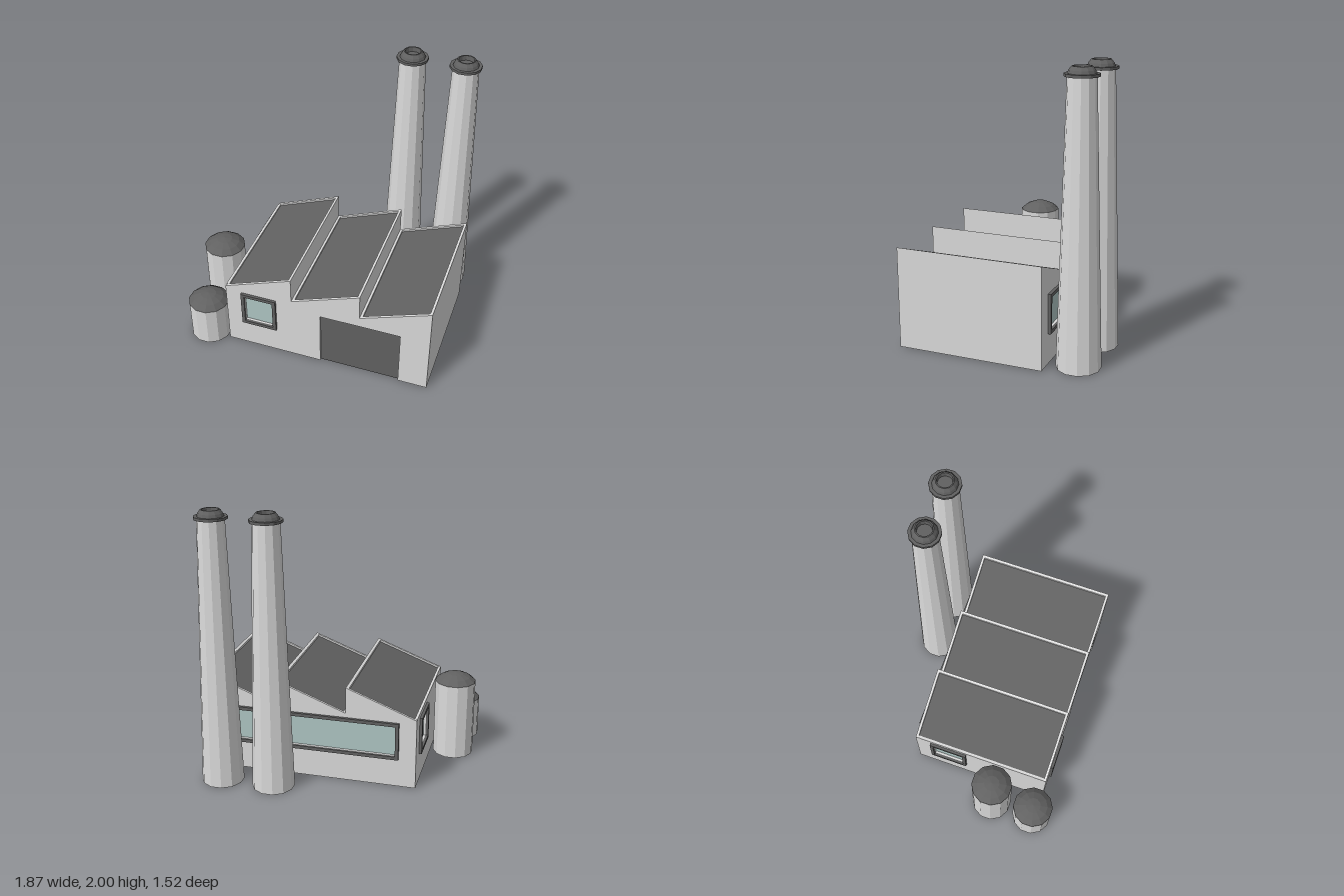
import * as THREE from 'three';

const mat = (name, color) => {
  const m = new THREE.MeshStandardMaterial({ color });
  m.name = name;
  return m;
};

export function createModel() {
  const wall = mat('light grey wall', 0xdadada);
  const dark = mat('dark grey', 0x616161);
  const glass = mat('pale blue glass', 0xaec5c3);
  const model = new THREE.Group();
  model.name = 'factory';

  const add = (name, geometry, material, parent = model) => {
    const mesh = new THREE.Mesh(geometry, material);
    mesh.name = name;
    parent.add(mesh);
    return mesh;
  };
  const poly = (pts) => new THREE.Shape(pts.map((p) => new THREE.Vector2(...p)));
  const rect = (x0, y0, x1, y1) => [[x0, y0], [x1, y0], [x1, y1], [x0, y1]];
  const extrude = (shape, depth, z = 0) =>
    new THREE.ExtrudeGeometry(shape, { depth, bevelEnabled: false }).translate(0, 0, z);
  const withHole = (pts, hole) => {
    const s = poly(pts);
    s.holes.push(poly(hole));
    return s;
  };

  // Building measurements
  const L = -0.62, R = 0.93, BACK = -0.41, FRONT = 0.645, T = 0.02;
  const LOW = 0.53, HIGH = 0.727, FRAME = 0.025;
  const WIN_LOW = 0.215, WIN_HIGH = 0.498;
  const DOOR = { x0: 0.115, x1: 0.715, h: 0.45 };
  const ridges = [L, -0.105, 0.412, R];
  const bays = [0, 1, 2].map((i) => {
    const x0 = ridges[i], x1 = ridges[i + 1];
    return { x0, x1, y: (x) => LOW + ((HIGH - LOW) * (x - x0)) / (x1 - x0) };
  });
  const sawtooth = bays.flatMap(({ x0, x1 }) => [[x0, LOW], [x1, HIGH]]);
  const opening = (x0, x1) => rect(x0 + FRAME, WIN_LOW + FRAME, x1 - FRAME, WIN_HIGH - FRAME);

  // Core with a sunken roof in each bay
  const core = [];
  bays.forEach(({ x0, x1, y }, i) => {
    const a = x0 + T, b = x1 - T;
    if (i > 0) core.push([x0, y(x0)], [a, y(a)]);
    core.push([a, y(a) - T], [b, y(b) - T], [b, y(b)], [x1, y(x1)]);
  });
  add('buildingCore', extrude(poly([[L + T, 0], ...core, [R, 0]]), FRONT - BACK - 2 * T, BACK + T), wall);

  // Roof panels
  bays.forEach(({ x0, x1, y }) => {
    const a = x0 + T, b = x1 - T;
    const panel = poly([[a, y(a) - T], [b, y(b) - T], [b, y(b) - T + 0.005], [a, y(a) - T + 0.005]]);
    add('roofPanel', extrude(panel, FRONT - BACK - 2 * T, BACK + T), dark);
  });

  // Outer walls with openings
  const frontPts = [[L, 0], ...sawtooth, [R, 0], [DOOR.x1, 0], [DOOR.x1, DOOR.h], [DOOR.x0, DOOR.h], [DOOR.x0, 0]];
  add('frontWall', extrude(withHole(frontPts, opening(-0.495, -0.225)), T, FRONT - T), wall);
  add('backWall', extrude(withHole([[L, 0], ...sawtooth, [R, 0]], opening(-0.495, 0.81)), T, BACK), wall);
  const side = add('rightWall',
    extrude(withHole(rect(BACK + T, 0, FRONT - T, LOW + 0.004), opening(-0.29, 0)), T), wall);
  side.rotation.y = -Math.PI / 2;
  side.position.x = L + T;

  // Door and underside
  add('door', new THREE.BoxGeometry(DOOR.x1 - DOOR.x0, DOOR.h, 0.004)
    .translate((DOOR.x0 + DOOR.x1) / 2, DOOR.h / 2, FRONT - T + 0.002), dark);
  const floor = poly([[L, BACK], [R, BACK], [R, FRONT], [DOOR.x1, FRONT], [DOOR.x1, FRONT - T],
    [DOOR.x0, FRONT - T], [DOOR.x0, FRONT], [L, FRONT]]);
  add('floor', new THREE.ShapeGeometry(floor).rotateX(Math.PI / 2).translate(0, -0.001, 0), dark);

  // Windows: protruding frame, glass set back in the wall
  const addWindow = (name, width, x, z, turn) => {
    const g = new THREE.Group();
    g.name = name;
    const w = width / 2;
    add('windowFrame', extrude(withHole(rect(-w, WIN_LOW, w, WIN_HIGH), opening(-w, w)), T), dark, g);
    add('windowGlass', new THREE.BoxGeometry(width - 2 * FRAME, WIN_HIGH - WIN_LOW - 2 * FRAME, 0.004)
      .translate(0, (WIN_LOW + WIN_HIGH) / 2, -T + 0.002), glass, g);
    g.position.set(x, 0, z);
    g.rotation.y = turn;
    model.add(g);
  };
  addWindow('frontWindow', 0.27, -0.36, FRONT, 0);
  addWindow('backWindow', 1.305, 0.1575, BACK, Math.PI);
  addWindow('sideWindow', 0.29, L, -0.145, -Math.PI / 2);

  // Twelve-sided faceted round parts, with flats facing the axes
  const SIDES = 12, TURN = Math.PI / SIDES, FLAT = Math.cos(TURN);
  const faceted = (geometry) => {
    const g = geometry.toNonIndexed();
    g.computeVertexNormals();
    return g;
  };
  const lathe = (pts) => faceted(new THREE.LatheGeometry(
    pts.map(([r, y]) => new THREE.Vector2(r / FLAT, y)), SIDES, TURN));
  const drum = (top, bottom, h) => {
    const g = new THREE.CylinderGeometry(top / FLAT, bottom / FLAT, h, SIDES, 1, false, TURN);
    const f = faceted(g.translate(0, h / 2, 0));
    g.groups.forEach((q) => f.groups.includes(q) || f.addGroup(q.start, q.count, q.materialIndex));
    return f;
  };
  const place = (name, x, z) => {
    const g = new THREE.Group();
    g.name = name;
    g.position.set(x, 0, z);
    model.add(g);
    return g;
  };

  // Chimneys with collar and hollow cap
  for (const x of [0.38, 0.768]) {
    const g = place('chimney', x, -0.612);
    add('chimneyShaft', drum(0.092, 0.148, 1.94), [wall, dark, dark], g);
    add('chimneyCap', lathe([[0.09, 1.936], [0.112, 1.936], [0.112, 1.955], [0.09, 1.955],
      [0.082, 1.976], [0.064, 2], [0.055, 2], [0.052, 1.965], [0, 1.965]]), dark, g);
  }

  // Storage tanks with shallow domes
  for (const [z, h] of [[0.27, 0.585], [0.608, 0.312]]) {
    const g = place('tank', -0.79, z);
    add('tankBody', drum(0.147, 0.147, h), [wall, dark, dark], g);
    add('tankDome', lathe([[0.148, h], [0.108, h + 0.034], [0.056, h + 0.057], [0, h + 0.065]]), dark, g);
  }
  return model;
}
